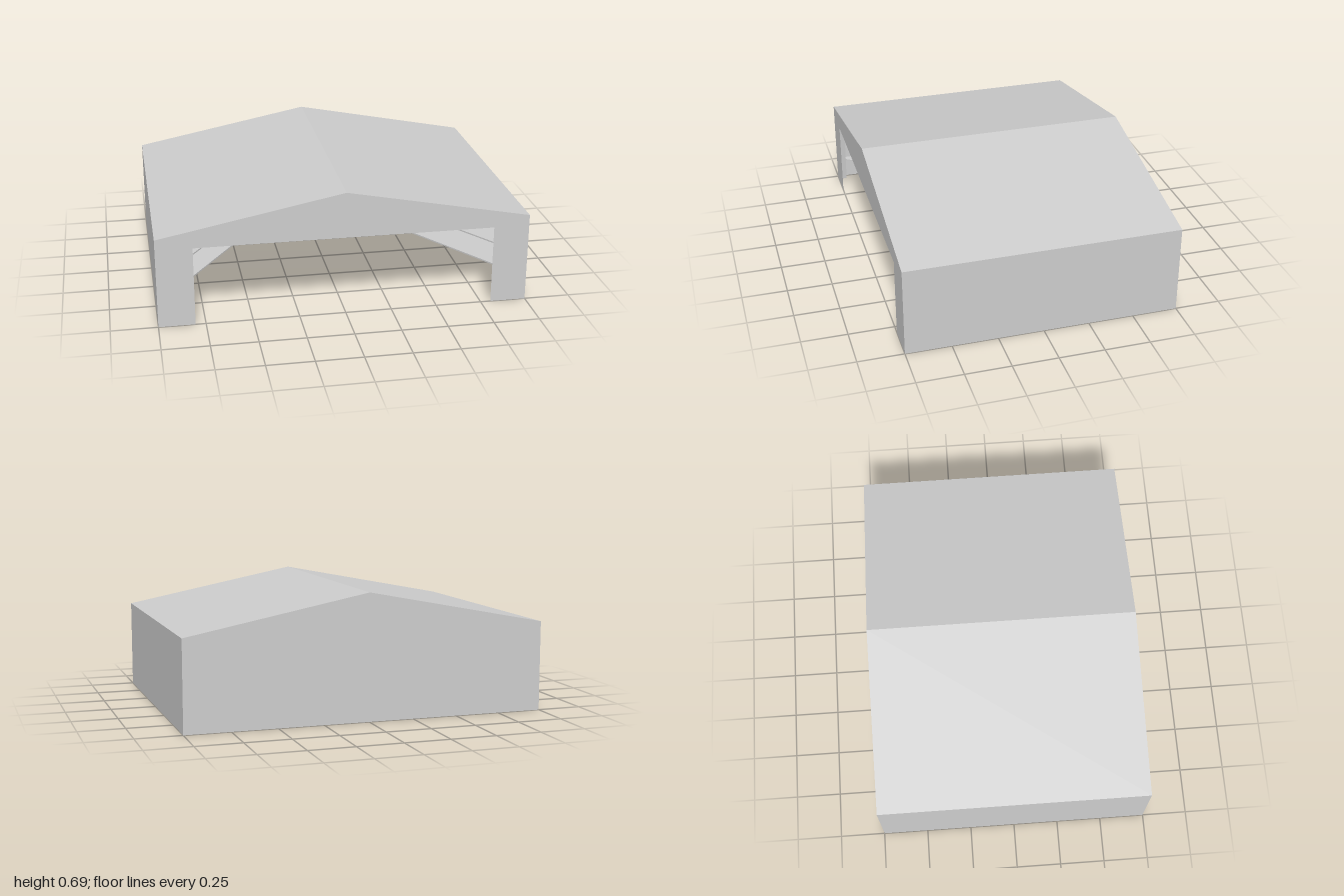
import * as THREE from 'three';

const W = 1, D = 0.75, EAVE = 0.495, RIDGE = 0.69;

export function createModel() {
  const model = new THREE.Group();
  const cladding = new THREE.MeshStandardMaterial({ color: 0xcccccc, side: THREE.DoubleSide });
  cladding.name = 'light grey';

  const add = (parent, name, geometry) => {
    const mesh = new THREE.Mesh(geometry, cladding);
    mesh.name = name;
    parent.add(mesh);
    return mesh;
  };
  const outline = (points) => new THREE.Shape(points.map(([x, y]) => new THREE.Vector2(x, y)));
  // Extrusion centred on z
  const slab = (points, depth) =>
    new THREE.ExtrudeGeometry(outline(points), { depth, bevelEnabled: false }).translate(0, 0, -depth / 2);

  // Thin gabled end walls, the front one with a wide doorway
  const gable = [[W, 0], [W, EAVE], [0, RIDGE], [-W, EAVE], [-W, 0]];
  const doorway = [[-0.805, 0], [-0.805, 0.437], [0.805, 0.437], [0.805, 0]];
  add(model, 'frontWall', new THREE.ShapeGeometry(outline([...gable, ...doorway]))).position.z = D;
  add(model, 'backWall', new THREE.ShapeGeometry(outline(gable)).rotateY(Math.PI)).position.z = -D;

  // Side walls and roof slopes
  for (const s of [1, -1]) {
    const side = s > 0 ? 'left' : 'right';
    add(model, side + 'Wall', new THREE.PlaneGeometry(2 * D, EAVE).rotateY(s * Math.PI / 2))
      .position.set(s * W, EAVE / 2, 0);
    const rise = RIDGE - EAVE;
    const roof = add(model, side + 'Roof',
      new THREE.PlaneGeometry(Math.hypot(W, rise), 2 * D).rotateX(-Math.PI / 2));
    roof.rotation.z = -s * Math.atan2(rise, W);
    roof.position.set(s * W / 2, (EAVE + RIDGE) / 2, 0);
  }

  // Steel portal frames: thin webs with wider flanges, tapering to the foot
  const web = [[0.99, 0], [0.99, 0.488], [0, 0.683], [0, 0.64], [0.925, 0.435], [0.965, 0]];
  const flanges = {
    outerColumnFlange: [[0.996, 0], [0.996, 0.486], [0.99, 0.486], [0.99, 0]],
    innerColumnFlange: [[0.967, 0], [0.927, 0.435], [0.921, 0.435], [0.961, 0]],
    lowerRafterFlange: [[0.927, 0.437], [0, 0.643], [0, 0.637], [0.927, 0.431]],
  };
  for (let i = 0; i < 6; i++) {
    const frame = new THREE.Group();
    frame.name = 'portalFrame' + (i + 1);
    frame.position.z = 0.72 - i * 0.288;
    for (const s of [1, -1]) {
      const mirror = (points) => points.map(([x, y]) => [s * x, y]);
      add(frame, 'frameWeb', slab(mirror(web), 0.008));
      for (const name in flanges) add(frame, name, slab(mirror(flanges[name]), 0.036));
    }
    model.add(frame);
  }

  // Three levels of triangular plates reaching from each side wall to the back
  for (const s of [1, -1]) {
    const plate = [[s * 0.997, -0.745], [s * 0.997, 0], [0, 0.745]];
    for (const y of [0.13, 0.26, 0.39]) {
      add(model, 'bracingPlate', slab(plate, 0.008).rotateX(-Math.PI / 2)).position.y = y;
    }
  }
  return model;
}
